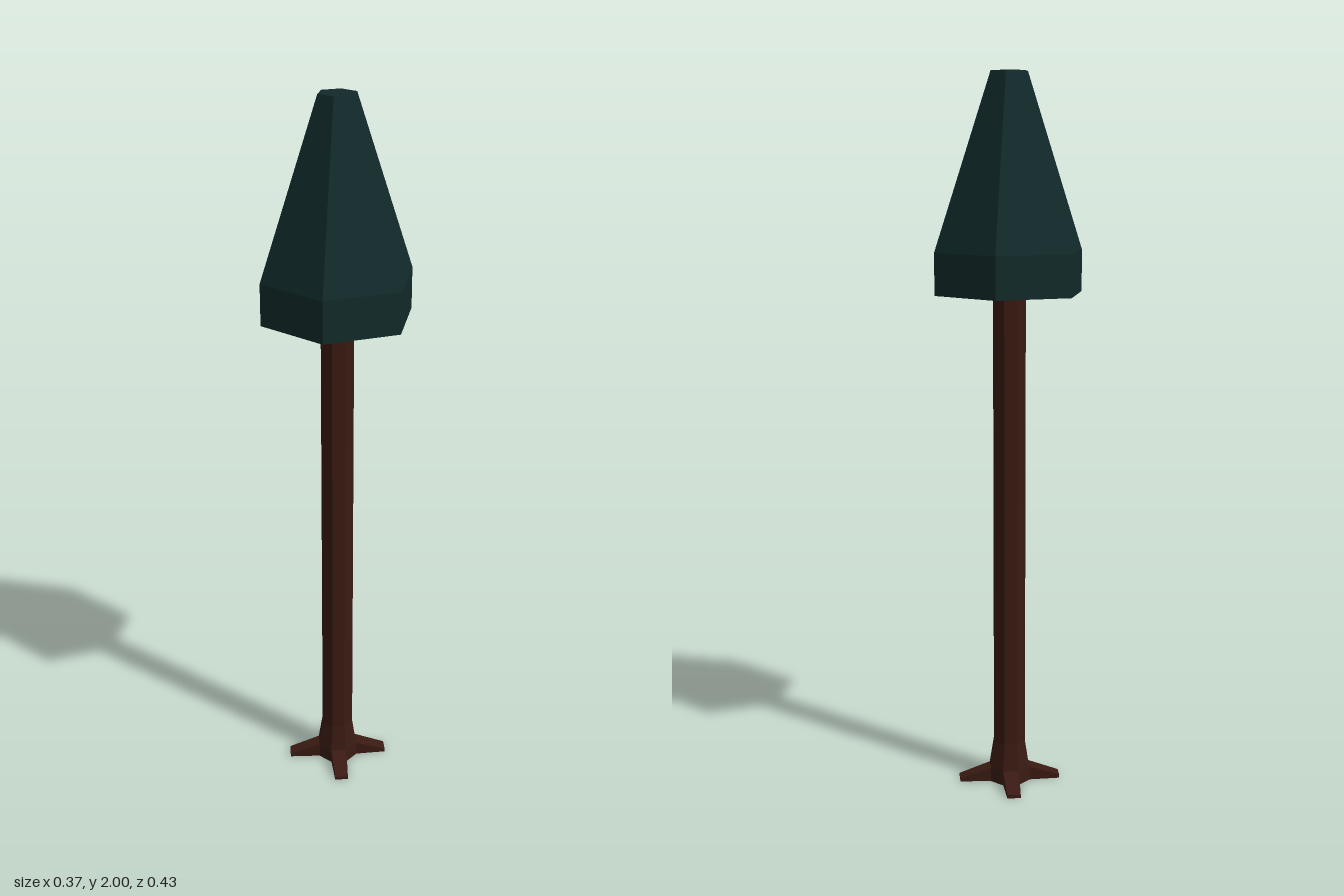
import * as THREE from 'three';

const bark = new THREE.MeshStandardMaterial({ color: 0x3a1a13, flatShading: true });
const leaf = new THREE.MeshStandardMaterial({ color: 0x122a2a, flatShading: true });

// Faceted solid of revolution from [radius, y] pairs, listed bottom to top
function faceted(name, profile, sides, turn, material) {
  const points = profile.map(([r, y]) => new THREE.Vector2(r, y));
  const mesh = new THREE.Mesh(new THREE.LatheGeometry(points, sides, turn), material);
  mesh.name = name;
  return mesh;
}

// Wedge growing outward along +z from one face of the trunk's foot
function rootGeometry() {
  const g = new THREE.BoxGeometry(1, 1, 1);
  const p = g.attributes.position;
  for (let i = 0; i < p.count; i++) {
    const outer = p.getZ(i) > 0, top = p.getY(i) > 0;
    const halfWidth = outer ? 0.019 : 0.023;
    const y = top ? (outer ? 0.01 : 0.042) : 0;
    p.setXYZ(i, Math.sign(p.getX(i)) * halfWidth, y, outer ? 0.144 : 0.052);
  }
  g.computeVertexNormals();
  return g;
}

export function createModel() {
  const tree = new THREE.Group();
  tree.name = 'tree';

  // Eight-sided trunk, flared at the foot
  tree.add(faceted('trunk',
    [[0, 0], [0.061, 0], [0.06, 0.04], [0.047, 0.12], [0.047, 1.412]],
    8, Math.PI / 8, bark));

  // Four roots on the diagonals
  const geometry = rootGeometry();
  for (let i = 0; i < 4; i++) {
    const root = new THREE.Mesh(geometry, bark);
    root.name = `root${i + 1}`;
    root.rotation.y = Math.PI / 4 + i * Math.PI / 2;
    tree.add(root);
  }

  // Six-sided crown: straight skirt, then a tapering top
  tree.add(faceted('crown',
    [[0, 1.41], [0.214, 1.41], [0.214, 1.525], [0.053, 2], [0, 2]],
    6, 0, leaf));

  return tree;
}
